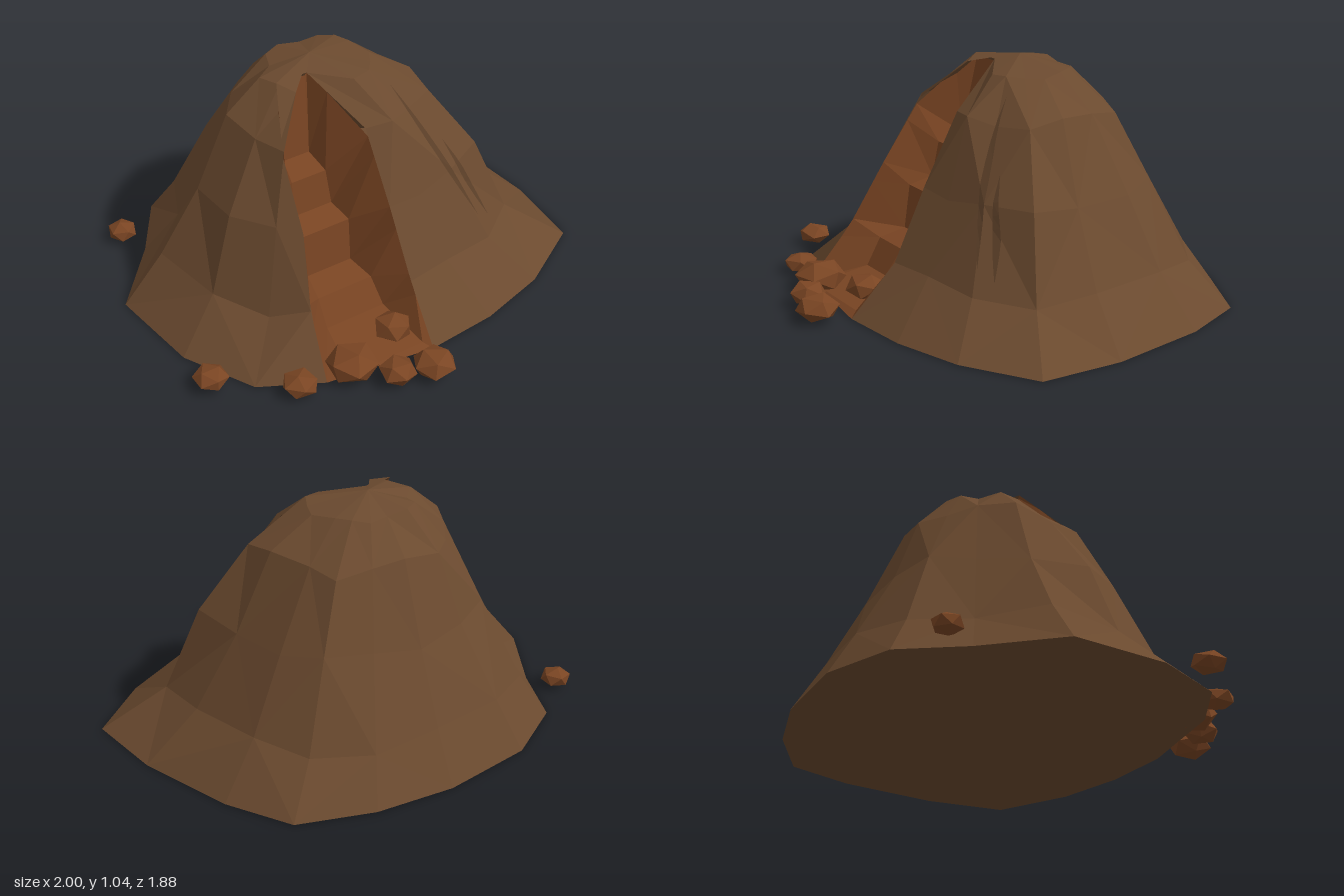
import * as THREE from 'three';

const earth = new THREE.MeshStandardMaterial({ color: 0x6b4a2f, flatShading: true, side: THREE.DoubleSide });
earth.name = 'packedEarth';
const clay = new THREE.MeshStandardMaterial({ color: 0x7a4523, flatShading: true, side: THREE.DoubleSide });
clay.name = 'freshClay';
const shade = new THREE.MeshStandardMaterial({ color: 0x5a3e27, flatShading: true, side: THREE.DoubleSide });
shade.name = 'crackEarth';

const APEX = [-0.05, 1.04, -0.19];

// Base outline from the right rim of the channel, round the back, to its left rim
const OUTLINE = [
  [0.33, 0.70], [0.65, 0.61], [0.97, 0.42], [1.0, 0.05], [0.94, -0.40], [0.83, -0.70], [0.52, -0.86],
  [0.17, -0.945], [-0.26, -0.945], [-0.58, -0.81], [-0.75, -0.54], [-1.0, -0.24], [-0.94, 0.20], [-0.77, 0.52],
];
// Rings of the slope, top to bottom: height and share of the base radius
const RINGS = [[0.99, 0.24], [0.84, 0.43], [0.53, 0.61], [0.2, 0.77], [0, 1]];

// Rims of the channel, one point for each ring
const RIM_R = [[-0.12, 1.01, -0.10], [0.0, 0.84, 0.18], [0.01, 0.53, 0.36], [0.02, 0.22, 0.52], [0.0, 0, 0.73]];
const RIM_L = [[-0.27, 1.01, -0.10], [-0.38, 0.81, 0.13], [-0.40, 0.53, 0.32], [-0.46, 0.24, 0.47], [-0.50, 0, 0.66]];

// Stepped floor: left x, right x, y, z, position along the rims
const FLOOR = [
  [-0.26, -0.13, 1.00, -0.10, 0],
  [-0.30, -0.15, 0.64, -0.04, 0.35],
  [-0.31, -0.14, 0.61, 0.08, 1.1],
  [-0.32, -0.13, 0.45, 0.11, 1.35],
  [-0.34, -0.11, 0.42, 0.22, 2.0],
  [-0.34, -0.12, 0.22, 0.25, 2.3],
  [-0.36, -0.09, 0.19, 0.37, 2.9],
  [-0.36, -0.07, 0.07, 0.44, 3.2],
  [-0.40, -0.03, 0.02, 0.69, 4],
];

function facets(name, tris, material) {
  const geo = new THREE.BufferGeometry();
  geo.setAttribute('position', new THREE.Float32BufferAttribute(tris.flat(2), 3));
  geo.computeVertexNormals();
  const mesh = new THREE.Mesh(geo, material);
  mesh.name = name;
  return mesh;
}

const quad = (a, b, c, d) => [[a, b, c], [a, c, d]];

function along(path, t) {
  const i = Math.min(Math.floor(t), path.length - 2), f = t - i;
  return path[i].map((v, k) => v + (path[i + 1][k] - v) * f);
}

// Mound: rings of the outline drawn in towards the summit, open along the channel
function buildMound() {
  const slope = OUTLINE.map(([x, z], c) => RINGS.map(([y, f], r) => {
    const wobble = r === 4 ? 0 : 0.018 * Math.sin(c * 2.4 + r * 1.9);
    const flare = r === 3 && z < 0 ? -0.07 * z : 0;
    const s = f + flare + wobble;
    const lift = r === 4 ? 0 : 0.02 * Math.sin(c * 1.7 + r * 2.6);
    return [APEX[0] + (x - APEX[0]) * s, y + lift * (r ? 1 : 0.4), APEX[2] + (z - APEX[2]) * s];
  }));
  const cols = [RIM_R, ...slope, RIM_L];
  const tris = [[APEX, RIM_L[0], RIM_R[0]]];
  const middle = [APEX[0], 0, APEX[2]];
  for (let c = 0; c < cols.length - 1; c++) {
    const a = cols[c], b = cols[c + 1];
    tris.push([APEX, a[0], b[0]]);
    for (let r = 0; r < 4; r++) {
      if ((c + r) % 2) tris.push(...quad(a[r + 1], b[r + 1], b[r], a[r]));
      else tris.push(...quad(b[r + 1], b[r], a[r], a[r + 1]));
    }
    tris.push([middle, b[4], a[4]]);
  }
  tris.push([middle, RIM_R[4], RIM_L[4]]);
  return facets('mound', tris, earth);
}

// Channel: stepped floor with a leaning wall on each side
function buildChannel() {
  const tris = [];
  const rows = FLOOR.map(([l, r, y, z, t]) => [along(RIM_L, t), [l, y, z], [r, y, z], along(RIM_R, t)]);
  for (let i = 0; i < rows.length - 1; i++) {
    for (let k = 0; k < 3; k++) {
      tris.push(...quad(rows[i + 1][k], rows[i + 1][k + 1], rows[i][k + 1], rows[i][k]));
    }
  }
  const end = rows[rows.length - 1];
  tris.push(...quad(RIM_L[4], RIM_R[4], end[2], end[1]));
  return facets('dugChannel', tris, clay);
}

// Crack: a thin lens laid on the slope
function buildCrack(mound, [x0, y0], [x1, y1], width) {
  const ray = new THREE.Raycaster();
  const back = new THREE.Vector3(0, 0, -1);
  const onSlope = (x, y) => {
    ray.set(new THREE.Vector3(x, y, 3), back);
    const hit = ray.intersectObject(mound)[0];
    return [x, y, (hit ? hit.point.z : 0) + 0.008];
  };
  const len = Math.hypot(x1 - x0, y1 - y0);
  const nx = -(y1 - y0) / len, ny = (x1 - x0) / len;
  const rows = [];
  for (let i = 0; i <= 8; i++) {
    const t = i / 8, w = width * Math.sin(Math.PI * t);
    const x = x0 + (x1 - x0) * t, y = y0 + (y1 - y0) * t;
    rows.push([onSlope(x - nx * w, y - ny * w), onSlope(x + nx * w, y + ny * w)]);
  }
  const tris = [];
  for (let i = 0; i < 8; i++) tris.push(...quad(rows[i][0], rows[i + 1][0], rows[i + 1][1], rows[i][1]));
  return facets('crack', tris, shade);
}

// Clods: x, y, z, radius, height radius
const CLODS = [
  [-0.92, 0.05, 0.41, 0.08, 0.045], [-0.62, 0.045, 0.64, 0.085, 0.045], [-0.38, 0.065, 0.67, 0.12, 0.07],
  [-0.24, 0.06, 0.81, 0.085, 0.055], [-0.08, 0.055, 0.85, 0.10, 0.06], [-0.12, 0.08, 0.59, 0.09, 0.06],
  [-0.80, 0.045, -0.67, 0.07, 0.045],
];

export function createModel() {
  const model = new THREE.Group();
  model.name = 'dirtMound';
  const mound = buildMound();
  model.add(mound, buildChannel());
  model.add(buildCrack(mound, [0.2, 0.93], [0.47, 0.31], 0.014));
  model.add(buildCrack(mound, [0.38, 0.66], [0.55, 0.26], 0.014));
  CLODS.forEach(([x, y, z, r, h], i) => {
    const geo = new THREE.IcosahedronGeometry(1, 0);
    geo.rotateX(i * 0.9).rotateY(i * 1.7).scale(r, h, r);
    const clod = new THREE.Mesh(geo, clay);
    clod.position.set(x, y, z);
    clod.name = 'clod';
    model.add(clod);
  });
  return model;
}
